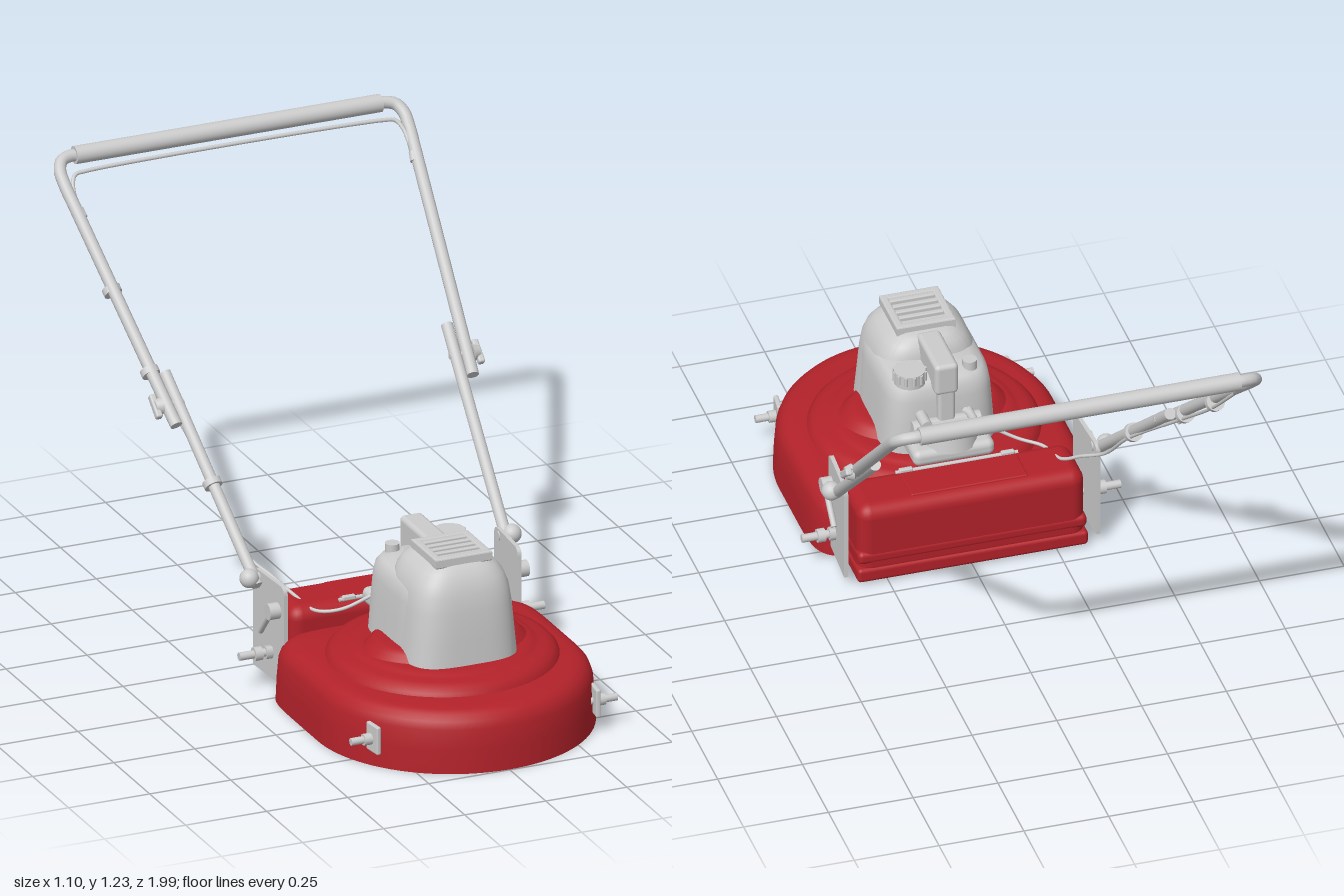
import * as THREE from 'three';
import { toCreasedNormals } from 'three/addons/utils/BufferGeometryUtils.js';
import { RoundedBoxGeometry } from 'three/addons/geometries/RoundedBoxGeometry.js';

const V = (x, y, z) => new THREE.Vector3(x, y, z);
const grey = new THREE.MeshStandardMaterial({ color: 0xcccccc });
const red = new THREE.MeshStandardMaterial({ color: 0xb3222a });

export function createModel() {
  const model = new THREE.Group();
  model.name = 'pushMower';

  const add = (name, geo, mat = grey, x = 0, y = 0, z = 0) => {
    const m = new THREE.Mesh(geo, mat);
    m.name = name;
    m.position.set(x, y, z);
    model.add(m);
    return m;
  };
  const box = (name, w, h, d, x, y, z, r = 0.008, mat = grey) =>
    add(name, new RoundedBoxGeometry(w, h, d, 3, r), mat, x, y, z);
  // Cylinder between two points
  const rod = (name, a, b, r, r2 = r, seg = 20) => {
    const dir = b.clone().sub(a);
    const m = add(name, new THREE.CylinderGeometry(r2, r, dir.length(), seg));
    m.position.copy(a).addScaledVector(dir, 0.5);
    m.quaternion.setFromUnitVectors(V(0, 1, 0), dir.normalize());
    return m;
  };
  const tube = (name, pts, r, n = 64) =>
    add(name, new THREE.TubeGeometry(new THREE.CatmullRomCurve3(pts, false, 'centripetal'), n, r, 12));

  // Skin closed rings, listed from bottom to top, and cap both ends
  const loft = (rings, crease = 0.7) => {
    const n = rings[0].length, pos = [], idx = [];
    rings.forEach(r => r.forEach(p => pos.push(p.x, p.y, p.z)));
    const centre = r => {
      const c = r.reduce((s, p) => s.add(p), V(0, 0, 0)).divideScalar(n);
      pos.push(c.x, c.y, c.z);
    };
    const last = rings.length - 1;
    centre(rings[0]);
    centre(rings[last]);
    const c0 = rings.length * n, c1 = c0 + 1;
    for (let j = 0; j < n; j++) {
      const k = (j + 1) % n;
      for (let i = 0; i < last; i++) {
        const a = i * n + j, b = i * n + k;
        idx.push(a, a + n, b, b, a + n, b + n);
      }
      idx.push(c0, j, k, c1, last * n + k, last * n + j);
    }
    const g = new THREE.BufferGeometry();
    g.setAttribute('position', new THREE.Float32BufferAttribute(pos, 3));
    g.setIndex(idx);
    return toCreasedNormals(g, crease);
  };
  const pw = (v, e) => Math.sign(v) * Math.pow(Math.abs(v), 2 / e);
  // Rounded-rectangle ring between z0 and z1
  const ring = (y, hx, z0, z1, e = 4.5, n = 64) => Array.from({ length: n }, (_, i) => {
    const t = i / n * Math.PI * 2;
    return V(hx * pw(Math.cos(t), e), y, (z0 + z1) / 2 + (z1 - z0) / 2 * pw(Math.sin(t), e));
  });
  // Deck outline: half circle at the front, squared off behind
  const deckRing = (y, inset) => Array.from({ length: 96 }, (_, i) => {
    const t = i / 96 * Math.PI * 2, c = Math.cos(t), s = Math.sin(t), R = 0.41 - inset;
    return s >= 0 ? V(R * c, y, 0.587 + R * s)
      : V(R * pw(c, 8), y, 0.587 + (0.387 - inset * 0.5) * pw(s, 8));
  });

  // Deck and its raised steps
  add('deck', loft([[0, 0], [0.07, 0.003], [0.13, 0.008], [0.152, 0.016], [0.168, 0.03],
    [0.177, 0.048], [0.18, 0.07]].map(([y, i]) => deckRing(y, i))), red);
  const lathe = pts => new THREE.LatheGeometry(pts.map(p => new THREE.Vector2(...p)), 72);
  add('deckStep', lathe([[0.335, 0.17], [0.328, 0.188], [0.315, 0.202], [0.295, 0.21], [0.275, 0.212],
    [0.26, 0.217], [0.25, 0.223], [0.23, 0.225], [0, 0.225]]), red, 0, 0, 0.53);
  add('enginePlinth', lathe([[0.25, 0.218], [0.235, 0.228], [0.222, 0.243], [0.205, 0.252], [0.185, 0.256],
    [0, 0.256]]), red, 0, 0, 0.545).scale.z = 0.72;

  // Rear discharge housing
  box('rearHousing', 0.67, 0.235, 0.18, 0, 0.1345, 0.147, 0.04, red);
  box('rearLip', 0.68, 0.045, 0.2, 0, 0.03, 0.152, 0.012, red);
  box('rearBand', 0.675, 0.04, 0.18, 0, 0.085, 0.145, 0.015, red);
  box('rearFlap', 0.345, 0.012, 0.115, 0, 0.25, 0.147, 0.005, red);
  rod('flapHinge', V(-0.18, 0.25, 0.216), V(0.18, 0.25, 0.216), 0.006);
  for (const x of [-0.15, 0.15]) box('hingeClip', 0.04, 0.014, 0.016, x, 0.253, 0.216, 0.004);

  // Engine shroud
  add('engineShroud', loft([[0.225, 0.17, 0.325], [0.32, 0.163, 0.328], [0.39, 0.158, 0.332], [0.425, 0.152, 0.338],
    [0.445, 0.138, 0.35], [0.455, 0.11, 0.375]].map(([y, hx, z0]) => ring(y, hx, z0, 0.69))));
  add('engineCover', loft([[0.225, 0.168, 0.44, 0.747], [0.3, 0.161, 0.44, 0.743], [0.38, 0.154, 0.442, 0.738],
    [0.43, 0.147, 0.445, 0.73], [0.465, 0.134, 0.45, 0.718], [0.49, 0.115, 0.46, 0.702],
    [0.507, 0.09, 0.475, 0.685], [0.513, 0.07, 0.49, 0.67]].map(([y, hx, a, b]) => ring(y, hx, a, b, 3.6))));

  // Air grille on top
  const rect = (Type, x, y) => new Type([[-x, -y], [x, -y], [x, y], [-x, y]].map(p => new THREE.Vector2(...p)));
  const frame = rect(THREE.Shape, 0.082, 0.082);
  frame.holes.push(rect(THREE.Path, 0.07, 0.07));
  const frameGeo = new THREE.ExtrudeGeometry(frame,
    { depth: 0.022, bevelSize: 0.005, bevelThickness: 0.004, bevelSegments: 2 });
  add('grilleFrame', frameGeo.rotateX(-Math.PI / 2), grey, 0, 0.507, 0.595);
  for (let i = 0; i < 5; i++) box('grilleSlat', 0.15, 0.018, 0.016, 0, 0.521, 0.537 + i * 0.029, 0.004);

  // Starter duct, filler caps and rear engine parts
  box('starterDuct', 0.07, 0.1, 0.19, 0, 0.47, 0.4, 0.014);
  box('starterArm', 0.05, 0.14, 0.035, 0, 0.39, 0.325, 0.01);
  rod('fuelCap', V(0.09, 0.44, 0.375), V(0.09, 0.482, 0.375), 0.045);
  for (let i = 0; i < 12; i++) {
    const a = i * Math.PI / 6;
    rod('fuelCapRib', V(0.09 + 0.044 * Math.cos(a), 0.452, 0.375 + 0.044 * Math.sin(a)),
      V(0.09 + 0.044 * Math.cos(a), 0.48, 0.375 + 0.044 * Math.sin(a)), 0.006, 0.006, 8);
  }
  rod('oilCap', V(-0.09, 0.44, 0.385), V(-0.09, 0.475, 0.385), 0.021);
  box('engineBase', 0.24, 0.05, 0.16, 0, 0.265, 0.31, 0.02);
  rod('flywheel', V(0, 0.28, 0.3), V(0, 0.335, 0.3), 0.085, 0.075, 32);
  const guard = add('flywheelGuard', new THREE.TorusGeometry(0.07, 0.012, 10, 32), grey, 0, 0.34, 0.3);
  guard.rotation.x = Math.PI / 2;
  rod('carburettor', V(-0.1, 0.31, 0.32), V(0.1, 0.31, 0.32), 0.028);
  rod('exhaustStub', V(0.07, 0.35, 0.35), V(0.07, 0.35, 0.27), 0.016);
  rod('carburettorBolt', V(-0.07, 0.34, 0.35), V(-0.07, 0.34, 0.265), 0.012);

  // Side plates, axles and folding handle, mirrored
  const plate = new THREE.Shape();
  plate.moveTo(-0.095, -0.15).lineTo(0.095, -0.15).lineTo(0.095, 0.125);
  plate.quadraticCurveTo(0.095, 0.15, 0.07, 0.15).lineTo(-0.07, 0.15);
  plate.quadraticCurveTo(-0.095, 0.15, -0.095, 0.125);
  const plateGeo = new THREE.ExtrudeGeometry(plate, { depth: 0.012, bevelEnabled: false });
  plateGeo.translate(0, 0, -0.006).rotateY(Math.PI / 2);

  for (const s of [1, -1]) {
    const P = (x, y, z) => V(s * x, y, z);
    add('sidePlate', plateGeo, grey, s * 0.366, 0.18, 0.16).rotation.y = -s * 0.06;
    rod('rearAxle', P(0.33, 0.11, 0.175), P(0.47, 0.11, 0.175), 0.012);
    rod('rearAxleCollar', P(0.402, 0.11, 0.175), P(0.425, 0.11, 0.175), 0.02);
    rod('rearAxleNut', P(0.37, 0.11, 0.175), P(0.39, 0.11, 0.175), 0.02, 0.02, 6);

    // Height lever
    rod('leverPivot', P(0.36, 0.25, 0.215), P(0.4, 0.25, 0.215), 0.024);
    rod('heightLever', P(0.388, 0.25, 0.215), P(0.386, 0.16, 0.135), 0.009);

    // Front wheel bracket
    const b = box('frontBracket', 0.014, 0.085, 0.062, s * 0.342, 0.088, 0.824, 0.005);
    b.rotation.y = -s * 0.12;
    rod('frontAxle', P(0.3, 0.085, 0.818), P(0.41, 0.085, 0.818), 0.011);
    rod('frontAxleCollar', P(0.345, 0.085, 0.818), P(0.372, 0.085, 0.818), 0.017);

    // Lower handle tube and pivot
    rod('handlePivot', P(0.36, 0.31, 0.1), P(0.42, 0.31, 0.1), 0.014);
    add('pivotKnob', new THREE.SphereGeometry(0.028, 20, 14), grey, s * 0.405, 0.31, 0.1);
    rod('lowerHandle', P(0.386, 0.29, 0.115), P(0.435, 0.745, -0.42), 0.017);

    // Clamp bolt and wing knob
    rod('clampBolt', P(0.41, 0.68, -0.345), P(0.5, 0.68, -0.345), 0.009);
    rod('clampKnob', P(0.479, 0.68, -0.345), P(0.5, 0.68, -0.345), 0.025, 0.018);
    const wing = box('clampWing', 0.02, 0.022, 0.075, s * 0.497, 0.68, -0.345, 0.006);
    wing.rotation.x = 0.7;
    rod('bailEnd', P(0.511, 1.08, -0.815), P(0.516, 1.1, -0.837), 0.013);
  }

  // Upper handle, grip and bail bar
  const mirrored = half => [...half, ...half.slice().reverse().map(p => V(-p.x, p.y, p.z))];
  tube('upperHandle', mirrored([V(0.458, 0.642, -0.295), V(0.46, 0.656, -0.311), V(0.524, 1.1, -0.838),
    V(0.531, 1.15, -0.898), V(0.53, 1.182, -0.935), V(0.514, 1.201, -0.958), V(0.485, 1.207, -0.967),
    V(0.46, 1.207, -0.967)]), 0.018, 240);
  for (const s of [1, -1]) rod('handleEnd', V(s * 0.457, 0.637, -0.289), V(s * 0.459, 0.65, -0.304), 0.018);
  rod('grip', V(-0.472, 1.207, -0.967), V(0.472, 1.207, -0.967), 0.026, 0.026, 28);
  tube('bailBar', mirrored([V(0.514, 1.09, -0.83), V(0.514, 1.125, -0.868), V(0.508, 1.155, -0.895),
    V(0.493, 1.172, -0.912), V(0.46, 1.176, -0.916)]), 0.006, 160);

  // Cable collars and control cable on the right side
  const along = V(0.07, 0.5, -0.6).normalize();
  for (const [x, y, z] of [[-0.498, 0.92, -0.645], [-0.474, 0.748, -0.435], [-0.41, 0.507, -0.145]]) {
    const c = V(x, y, z), d = V(-along.x, along.y, along.z).multiplyScalar(0.01);
    rod('cableCollar', c.clone().sub(d), c.clone().add(d), 0.027);
  }
  tube('controlCable', [V(-0.5, 1.07, -0.83), V(-0.485, 0.9, -0.645), V(-0.46, 0.73, -0.435), V(-0.395, 0.49, -0.145),
    V(-0.37, 0.34, 0.01), V(-0.325, 0.295, 0.08), V(-0.285, 0.255, 0.14), V(-0.26, 0.24, 0.24),
    V(-0.2, 0.25, 0.28), V(-0.12, 0.29, 0.31)], 0.005, 120);

  return model;
}
